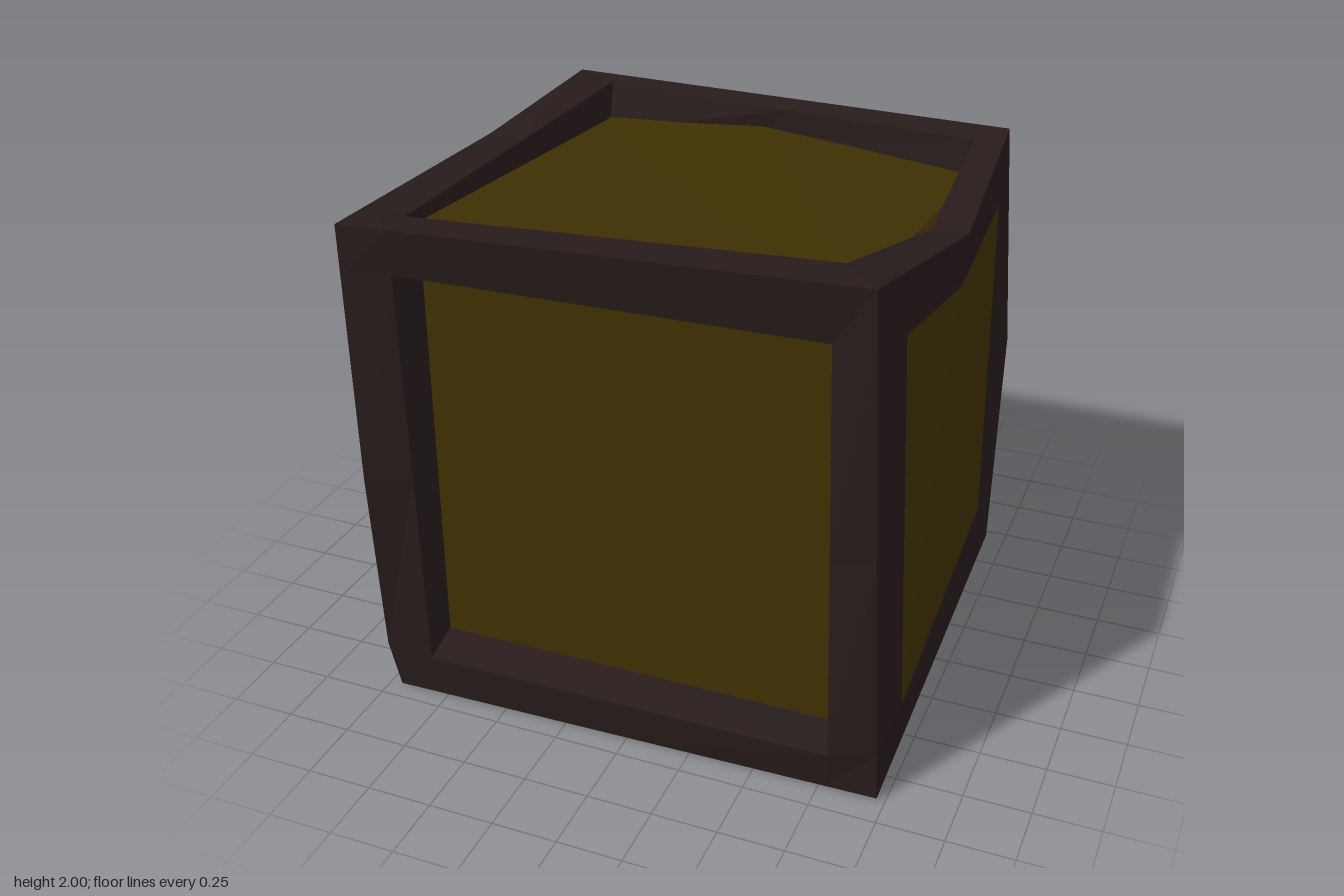
import * as THREE from 'three';

// Warped 5x5x5 lattice: indices 0 and 4 are the outside, 1 and 3 the inner edges of the beams
const LEVEL = [0, 0.1, 0.5, 0.9, 1];

// Outer corners, keyed by lattice index (x, y, z)
const CORNERS = {
  '000': [-0.965, 0.01, -0.97], '400': [0.92, 0.01, -0.95],
  '004': [-0.955, 0, 0.925], '404': [0.97, 0.01, 0.89],
  '040': [-0.975, 1.94, -0.91], '440': [0.87, 1.9, -0.95],
  '044': [-0.99, 1.95, 0.98], '444': [0.89, 2, 0.92],
};

// Hand-carved irregularities
const CARVED = {
  ...CORNERS,
  // bent outer edges
  '442': [0.95, 1.83, -0.01], '042': [-0.98, 1.92, -0.1],
  '420': [0.93, 0.97, -0.98], '024': [-0.98, 0.96, 0.99],
  '014': [-0.985, 0.2, 0.945], '010': [-0.98, 0.2, -0.97], '030': [-0.98, 1.8, -0.965],
  // right side window
  '413': [0.99, 0.29, 0.69], '411': [0.915, 0.27, -0.74],
  '433': [0.92, 1.73, 0.65], '432': [0.92, 1.59, -0.09], '431': [0.9, 1.67, -0.72],
  // left side opening
  '011': [-0.975, 0.19, -0.88], '031': [-0.98, 1.68, -0.72],
  '013': [-0.97, 0.17, 0.79], '033': [-0.98, 1.76, 0.7],
  // bottom opening
  '301': [0.85, 0.01, -0.91], '101': [-0.82, 0.01, -0.88], '303': [0.81, 0.01, 0.8],
  // front window rim and inner edge
  '114': [-0.805, 0.165, 0.93], '314': [0.79, 0.17, 0.92],
  '134': [-0.805, 1.78, 0.95], '334': [0.74, 1.77, 0.88],
  '113': [-0.805, 0.21, 0.78], '313': [0.79, 0.21, 0.77],
  '133': [-0.795, 1.77, 0.77], '333': [0.735, 1.77, 0.74],
  // back window rim and inner edge
  '110': [-0.82, 0.1, -0.945], '310': [0.81, 0.1, -0.94],
  '130': [-0.82, 1.75, -0.93], '330': [0.76, 1.68, -0.92],
  '111': [-0.76, 0.18, -0.78], '311': [0.79, 0.18, -0.8],
  '131': [-0.78, 1.74, -0.76], '331': [0.76, 1.7, -0.77], '231': [-0.14, 1.77, -0.83],
  // top window rim
  '141': [-0.81, 1.92, -0.86], '341': [0.76, 1.88, -0.82], '342': [0.81, 1.82, -0.02],
  '143': [-0.82, 1.94, 0.81], '343': [0.73, 1.98, 0.72], '332': [0.78, 1.66, -0.35],
};

const mix = (p, q, t) => p.map((v, a) => v + (q[a] - v) * t);

// Same lattice index with one axis replaced
const moved = (index, axis, value) => index.map((n, a) => (a === axis ? value : n));

function point(index) {
  const carved = CARVED[index.join('')];
  if (carved) return carved;
  const outer = index.filter((n) => n % 4 === 0).length;
  // Midpoints run straight between their neighbours
  const middle = index.indexOf(2);
  if (middle >= 0) {
    const [a, b] = outer === 2 ? [0, 4] : [1, 3];
    return mix(point(moved(index, middle, a)), point(moved(index, middle, b)), 0.5);
  }
  // Points along an outer edge lie between the corner and the middle
  if (outer === 2) {
    const axis = index.findIndex((n) => n % 4 !== 0);
    const end = index[axis] === 1 ? 0 : 4;
    return mix(point(moved(index, axis, end)), point(moved(index, axis, 2)), 0.2);
  }
  // Everything else is blended from the eight corners
  const p = [0, 0, 0];
  for (const [c, v] of Object.entries(CORNERS)) {
    let w = 1;
    for (let a = 0; a < 3; a++) w *= c[a] === '4' ? LEVEL[index[a]] : 1 - LEVEL[index[a]];
    for (let a = 0; a < 3; a++) p[a] += v[a] * w;
  }
  return p;
}

// Adds one lattice quad perpendicular to an axis, facing along sign
function addQuad(out, cell, axis, sign) {
  const u = (axis + 1) % 3, v = (axis + 2) % 3;
  const q = [[0, 0], [1, 0], [1, 1], [0, 1]].map(([a, b]) => {
    const n = [...cell];
    n[u] += a;
    n[v] += b;
    return point(n);
  });
  if (sign < 0) q.reverse();
  for (const n of [0, 1, 2, 0, 2, 3]) out.push(...q[n]);
}

function makeMesh(points, material, name) {
  const geometry = new THREE.BufferGeometry();
  geometry.setAttribute('position', new THREE.Float32BufferAttribute(points, 3));
  geometry.computeVertexNormals();
  const mesh = new THREE.Mesh(geometry, material);
  mesh.name = name;
  return mesh;
}

// A cell belongs to the frame when it lies on the border along two or more axes
function isBeam(cell) {
  if (cell.some((c) => c < 0 || c > 3)) return false;
  return cell.filter((c) => c === 0 || c === 3).length >= 2;
}

// Panel outlines, counter-clockwise from outside; the left side and the bottom stay open
const PANELS = {
  topPanel: [[0.745, 1.85, 0.74], [0.81, 1.73, -0.3], [0.77, 1.75, -0.79],
    [-0.14, 1.82, -0.845], [-0.82, 1.79, -0.78], [-0.83, 1.9, 0.82]],
  frontPanel: ['113', '313', '333', '133'].map((key) => CARVED[key]),
  backPanel: [[0.82, 0.1, -0.91], [-0.81, 0.1, -0.87], [-0.81, 1.76, -0.87], [0.78, 1.7, -0.87]],
  rightSidePanel: ['413', '411', '431', '432', '433'].map((key) => CARVED[key]),
};

export function createModel() {
  const group = new THREE.Group();
  group.name = 'framedBox';
  const wood = new THREE.MeshStandardMaterial({ color: 0x271b1b, flatShading: true });
  wood.name = 'darkWood';
  const ochre = new THREE.MeshStandardMaterial({ color: 0x3f3003, flatShading: true, side: THREE.DoubleSide });
  ochre.name = 'ochrePanel';

  // Frame: twelve beams joined into one skin
  const frame = [];
  for (let i = 0; i < 4; i++) for (let j = 0; j < 4; j++) for (let k = 0; k < 4; k++) {
    const cell = [i, j, k];
    if (!isBeam(cell)) continue;
    for (let axis = 0; axis < 3; axis++) for (const sign of [-1, 1]) {
      const next = moved(cell, axis, cell[axis] + sign);
      if (isBeam(next)) continue;
      addQuad(frame, sign > 0 ? next : cell, axis, sign);
    }
  }
  group.add(makeMesh(frame, wood, 'frame'));

  // Panels: each outline filled as a fan from its first corner
  for (const [name, outline] of Object.entries(PANELS)) {
    const points = [];
    for (let n = 1; n < outline.length - 1; n++) points.push(...outline[0], ...outline[n], ...outline[n + 1]);
    group.add(makeMesh(points, ochre, name));
  }
  return group;
}
